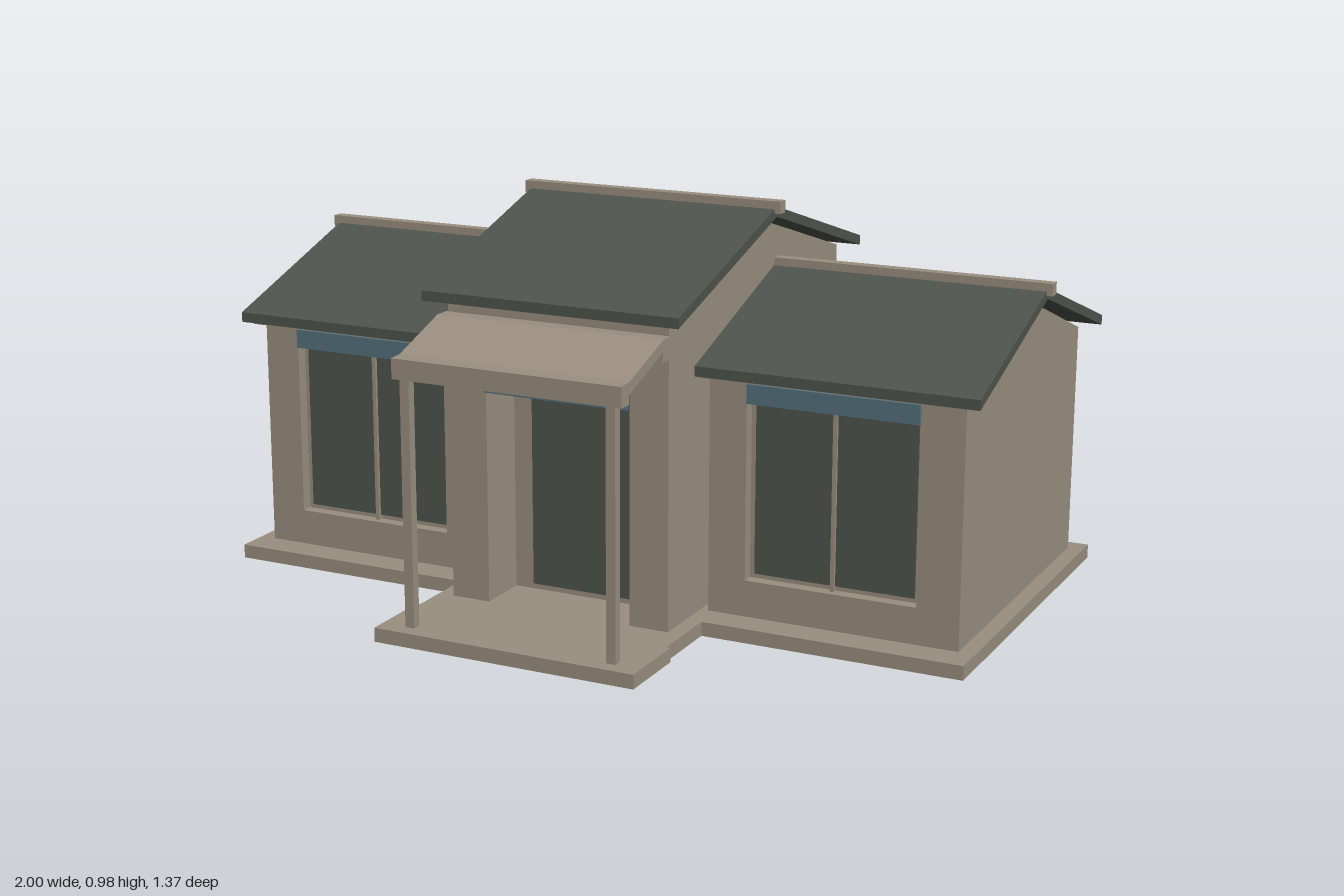
import * as THREE from 'three';

const mat = (name, color) => {
  const m = new THREE.MeshStandardMaterial({ color });
  m.name = name;
  return m;
};

export function createModel() {
  const house = new THREE.Group();
  house.name = 'house';
  const stone = mat('warm stone', 0x9a8f7f);
  const slate = mat('dark slate', 0x4e544d);
  const blue = mat('blue trim', 0x55707e);

  const add = (name, geo, material, parent = house) => {
    const mesh = new THREE.Mesh(geo, material);
    mesh.name = name;
    parent.add(mesh);
    return mesh;
  };
  // Box given by its extents
  const box = (name, x0, x1, y0, y1, z0, z1, material, parent) => {
    const g = new THREE.BoxGeometry(x1 - x0, y1 - y0, z1 - z0);
    g.translate((x0 + x1) / 2, (y0 + y1) / 2, (z0 + z1) / 2);
    return add(name, g, material, parent);
  };
  const shapeOf = (pts) => new THREE.Shape(pts.map(([a, b]) => new THREE.Vector2(a, b)));
  // Profile of [z, y] points swept along x from x0 to x1
  const sweep = (name, pts, x0, x1, material, parent) => {
    const g = new THREE.ExtrudeGeometry(shapeOf(pts), { depth: x1 - x0, bevelEnabled: false });
    g.rotateY(-Math.PI / 2).translate(x1, 0, 0);
    return add(name, g, material, parent);
  };
  // Gabled roof of constant vertical thickness
  const roof = (name, x0, x1, front, back, ridge, eaveY, ridgeY, parent) => {
    const t = 0.025;
    sweep(name, [[front, eaveY - t], [front, eaveY], [ridge, ridgeY], [back, eaveY],
      [back, eaveY - t], [ridge, ridgeY - t]], x0, x1, slate, parent);
  };

  // Foundation slab, stepped towards the porch
  const half = [[0.34, 0.68], [0.34, 0.49], [0.33, 0.49], [0.33, 0.30],
    [0.98, 0.30], [0.98, -0.68], [0.27, -0.68], [0.27, -0.66]];
  const outline = [...half, ...half.map(([x, z]) => [-x, z]).reverse()];
  const slab = new THREE.ExtrudeGeometry(
    shapeOf(outline.map(([x, z]) => [x, -z])), { depth: 0.035, bevelEnabled: false });
  add('foundation', slab.rotateX(-Math.PI / 2), stone);

  // Central hall with a recessed entrance between two piers
  const hall = new THREE.Group();
  hall.name = 'centralHall';
  house.add(hall);
  const hallTop = [[0.40, 0.78], [-0.105, 0.93], [-0.61, 0.78], [-0.61, 0.035]];
  for (const s of [-1, 1]) {
    sweep('entrancePier', [[0.40, 0.035], ...hallTop], s < 0 ? -0.29 : 0.19, s < 0 ? -0.19 : 0.29, stone, hall);
  }
  sweep('hallCore', [[0.265, 0.035], [0.265, 0.61], [0.40, 0.61], ...hallTop], -0.19, 0.19, stone, hall);
  roof('hallRoof', -0.335, 0.335, 0.445, -0.66, -0.105, 0.80, 0.965, hall);
  box('hallRidgeCap', -0.35, 0.35, 0.95, 0.98, -0.12, -0.09, stone, hall);
  box('hallEaveBeam', -0.29, 0.29, 0.775, 0.798, 0.37, 0.442, stone, hall);

  // Front door
  box('door', -0.138, 0.135, 0.05, 0.57, 0.263, 0.272, slate, hall);
  box('doorHandle', 0.073, 0.081, 0.26, 0.33, 0.272, 0.285, stone, hall);
  box('doorHeader', -0.192, 0.187, 0.56, 0.605, 0.40, 0.409, blue, hall);

  // Porch
  const porch = new THREE.Group();
  porch.name = 'porch';
  house.add(porch);
  sweep('porchRoof', [[0.40, 0.745], [0.40, 0.692], [0.44, 0.692], [0.44, 0.718], [0.61, 0.657],
    [0.61, 0.635], [0.648, 0.635], [0.648, 0.684], [0.61, 0.686], [0.44, 0.745]], -0.295, 0.295, stone, porch);
  for (const x of [-0.265, 0.265]) {
    box('porchPost', x - 0.012, x + 0.012, 0.035, 0.64, 0.62, 0.643, stone, porch);
  }

  // Side wings, each with one recessed double window
  const wingTop = [[0.22, 0.62], [-0.21, 0.772], [-0.635, 0.62], [-0.635, 0.035]];
  const solid = [[0.22, 0.035], ...wingTop];
  const notched = [[0.22, 0.035], [0.22, 0.125], [0.19, 0.125], [0.19, 0.605], [0.22, 0.605], ...wingTop];
  for (const s of [-1, 1]) {
    const wing = new THREE.Group();
    wing.name = s > 0 ? 'leftWing' : 'rightWing';
    house.add(wing);
    const span = (a, b) => (s > 0 ? [a, b] : [-b, -a]);
    const c = s * 0.625 - 0.005; // window centre
    const w0 = c - 0.215, w1 = c + 0.215;
    const [x0, x1] = span(0.31, 0.94);
    sweep('wingWall', solid, x0, w0, stone, wing);
    sweep('wingWall', solid, w1, x1, stone, wing);
    sweep('windowWall', notched, w0, w1, stone, wing);
    for (const p of [-1, 1]) {
      box('windowPane', c + p * 0.103 - 0.098, c + p * 0.103 + 0.098, 0.137, 0.6, 0.188, 0.196, slate, wing);
    }
    box('windowMullion', c - 0.005, c + 0.005, 0.125, 0.605, 0.188, 0.204, stone, wing);
    box('windowHeader', w0 + 0.002, w1 - 0.002, 0.56, 0.607, 0.219, 0.228, blue, wing);
    roof('wingRoof', ...span(0.268, 0.985), 0.262, -0.688, -0.21, 0.645, 0.805, wing);
    box('wingRidgeCap', ...span(0.28, 1.0), 0.79, 0.82, -0.226, -0.196, stone, wing);
    box('wingEaveBeam', ...span(0.295, 0.953), 0.617, 0.64, 0.185, 0.257, stone, wing);
  }
  return house;
}
